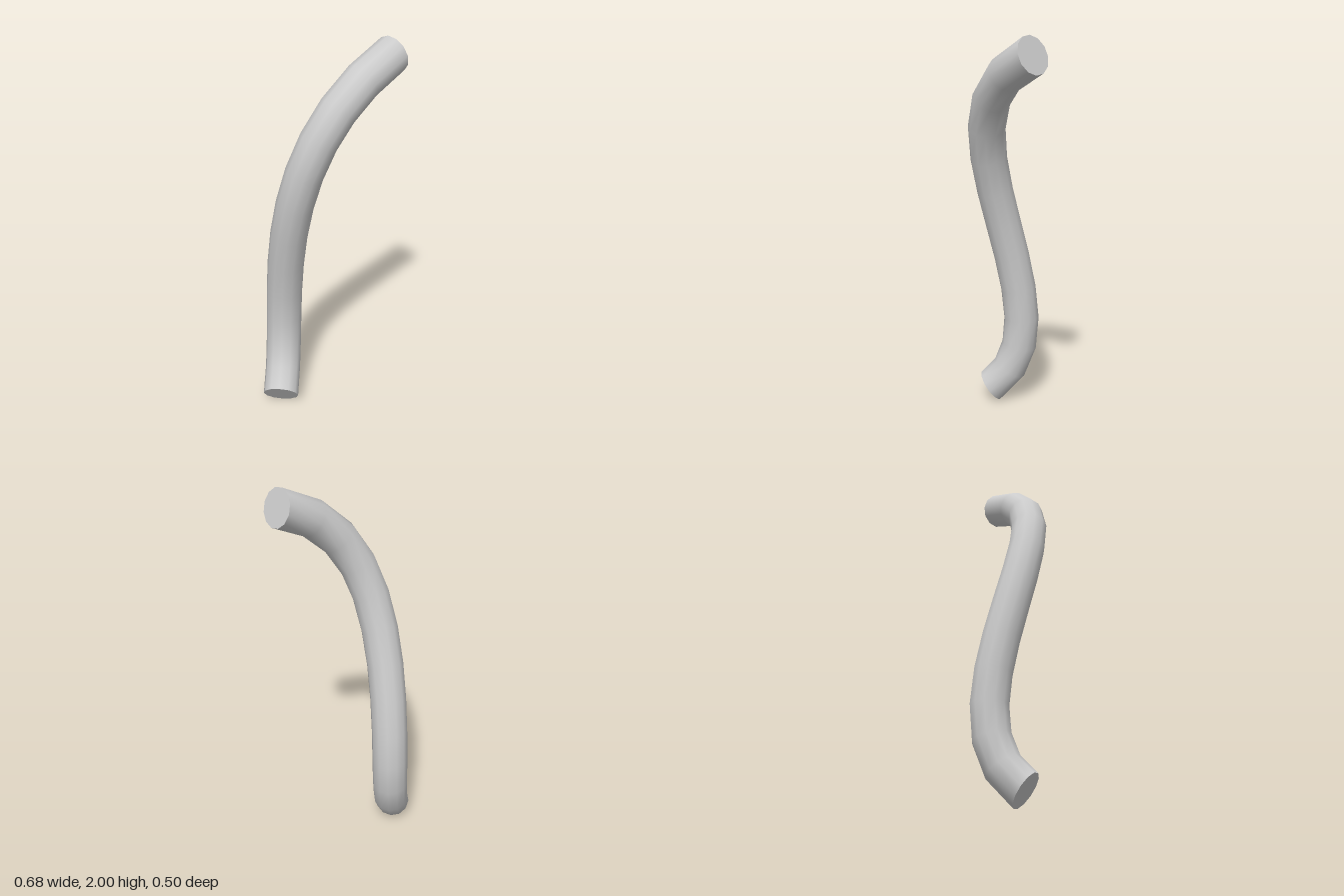
import * as THREE from 'three';

const SEGMENTS = 12, SIDES = 12, RADIUS = 0.095;

// Flat end disc, fanned over one ring of the tube
function capGeometry(tube, ring, reversed) {
  const pos = tube.attributes.position;
  const points = [];
  for (let i = 0; i < SIDES; i++) {
    points.push(new THREE.Vector3().fromBufferAttribute(pos, ring * (SIDES + 1) + i));
  }
  if (reversed) points.reverse();
  const index = [];
  for (let i = 1; i < SIDES - 1; i++) index.push(0, i, i + 1);
  const geometry = new THREE.BufferGeometry().setFromPoints(points);
  geometry.setIndex(index);
  geometry.computeVertexNormals();
  return geometry;
}

export function createModel() {
  const group = new THREE.Group();
  group.name = 'bentPipe';
  const material = new THREE.MeshStandardMaterial({ color: 0xcccccc });

  // S-shaped centre line
  const path = new THREE.CubicBezierCurve3(
    new THREE.Vector3(-0.262, 0.08, -0.042),
    new THREE.Vector3(0.125, 0.474, -0.408),
    new THREE.Vector3(-0.596, 1.61, 0.216),
    new THREE.Vector3(0.31, 1.91, 0.156)
  );
  // Space the rings evenly in curve parameter rather than in length
  path.getPointAt = path.getPoint;
  path.getTangentAt = path.getTangent;

  const tube = new THREE.TubeGeometry(path, SEGMENTS, RADIUS, SIDES, false);
  const add = (name, geometry) => {
    const mesh = new THREE.Mesh(geometry, material);
    mesh.name = name;
    group.add(mesh);
  };
  add('pipe', tube);
  add('bottomCap', capGeometry(tube, 0, false));
  add('topCap', capGeometry(tube, SEGMENTS, true));
  return group;
}
